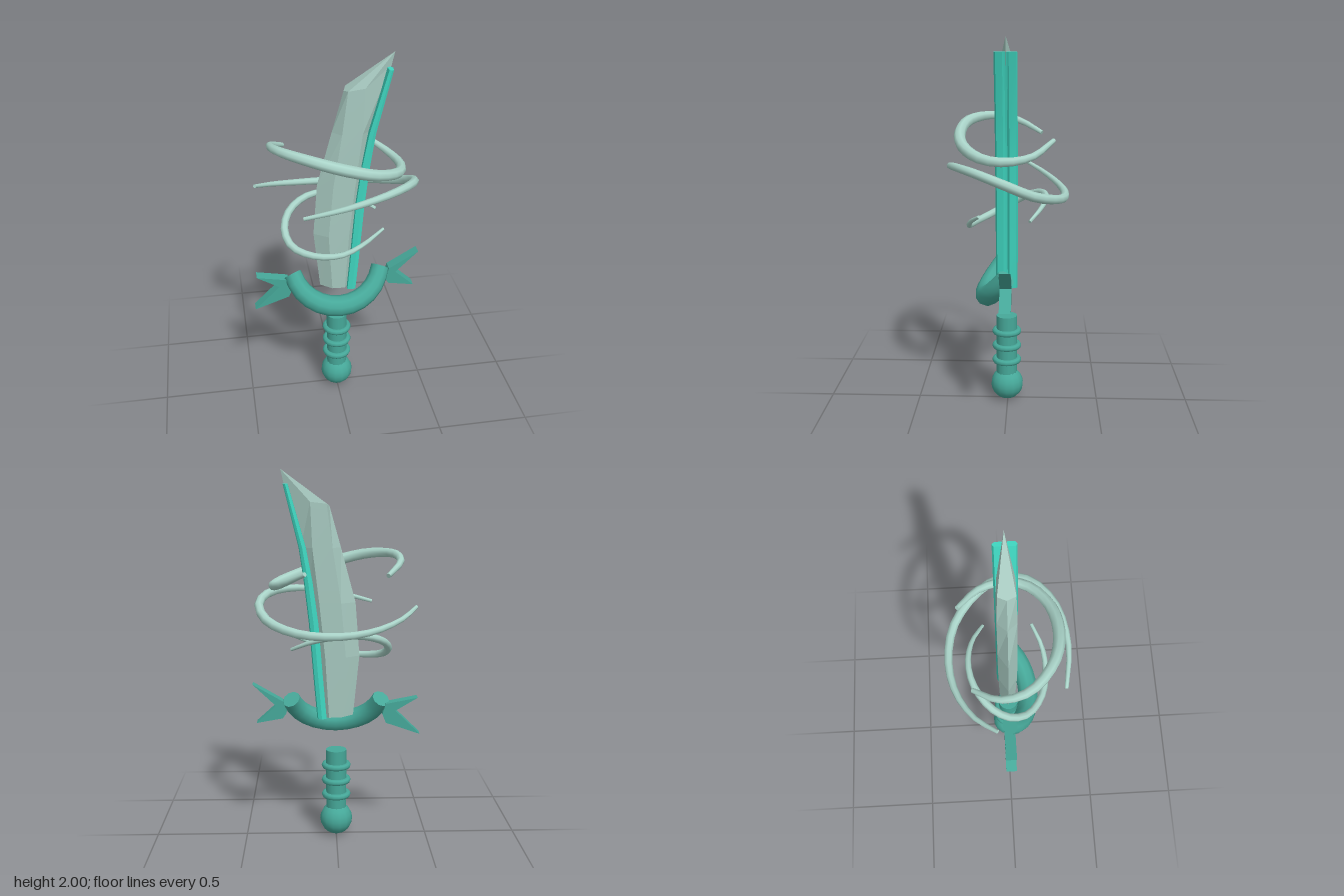
import * as THREE from 'three';
import { toCreasedNormals } from 'three/addons/utils/BufferGeometryUtils.js';

const paint = (name, color) => {
  const m = new THREE.MeshStandardMaterial({ color });
  m.name = name;
  return m;
};

// Closed skin over equal-length rings (each anticlockwise about the path), capped at both ends
function loft(rings, crease, endApex) {
  const n = rings[0].length, pos = [], idx = [];
  const mid = r => r.reduce((s, p) => s.add(p), new THREE.Vector3()).divideScalar(n);
  const add = p => pos.push(p.x, p.y, p.z);
  rings.forEach(r => r.forEach(add));
  const last = rings.length - 1, c0 = rings.length * n, c1 = c0 + 1;
  add(mid(rings[0]));
  add(endApex || mid(rings[last]));
  for (let j = 0; j < n; j++) {
    const k = (j + 1) % n;
    for (let i = 0; i < last; i++) {
      const a = i * n + j, b = i * n + k;
      idx.push(a, b, b + n, a, b + n, a + n);
    }
    idx.push(c0, k, j, c1, last * n + j, last * n + k);
  }
  const g = new THREE.BufferGeometry();
  g.setAttribute('position', new THREE.Float32BufferAttribute(pos, 3));
  g.setIndex(idx);
  return toCreasedNormals(g, crease);
}

// Round tube along a smooth path, radius given as a function of 0..1
function sweep(points, radius, steps, sides) {
  const curve = new THREE.CatmullRomCurve3(points.map(p => new THREE.Vector3(...p)));
  const { normals, binormals } = curve.computeFrenetFrames(steps, false);
  const rings = [];
  for (let i = 0; i <= steps; i++) {
    const c = curve.getPointAt(i / steps), r = radius(i / steps);
    rings.push(Array.from({ length: sides }, (_, j) => {
      const a = j / sides * Math.PI * 2;
      return c.clone().addScaledVector(normals[i], r * Math.cos(a)).addScaledVector(binormals[i], r * Math.sin(a));
    }));
  }
  return loft(rings, 1.1);
}

export function createModel() {
  const model = new THREE.Group();
  model.name = 'sword';
  const teal = paint('dark teal', 0x46a899);
  const bright = paint('bright teal', 0x3fd6c0);
  const steel = paint('pale steel', 0xa6c8bf);
  const mist = paint('pale mint', 0xaad4c9);
  const add = (name, geo, mat, x = 0, y = 0, z = 0) => {
    const m = new THREE.Mesh(geo, mat);
    m.name = name;
    m.position.set(x, y, z);
    model.add(m);
    return m;
  };
  const V = (x, y, z) => new THREE.Vector3(x, y, z);

  // Grip, pommel and grip rings
  add('pommel', new THREE.SphereGeometry(0.09, 14, 10), teal, 0, 0.088, 0.004);
  add('grip', new THREE.CylinderGeometry(0.057, 0.057, 0.36, 14), teal, 0, 0.31, 0.006);
  for (const y of [0.23, 0.315, 0.4]) {
    add('gripRing', new THREE.TorusGeometry(0.064, 0.017, 8, 18), teal, 0, y, 0.006).rotation.x = Math.PI / 2;
  }

  // Crescent guard, an arc leaning towards the front
  const arc = [];
  for (let i = 0; i <= 8; i++) {
    const a = (i / 4 - 1) * 1.36, d = 0.25 * (1 - Math.cos(a));
    arc.push([0.25 * Math.sin(a), 0.62 + d * 0.8, 0.12 - d * 0.6]);
  }
  add('guard', sweep(arc, t => 0.05 + 0.008 * Math.sin(Math.PI * t), 12, 10), teal);

  // Forked spikes at the guard ends
  const forks = [
    ['leftFork', [[0.452, 0.87], [0.29, 0.775], [0.27, 0.71], [0.29, 0.68], [0.432, 0.655], [0.327, 0.75]]],
    ['rightFork', [[-0.442, 0.79], [-0.27, 0.757], [-0.25, 0.70], [-0.27, 0.65], [-0.457, 0.585], [-0.322, 0.718]]],
  ];
  for (const [name, pts] of forks) {
    const shape = new THREE.Shape(pts.map(p => new THREE.Vector2(...p)));
    const geo = new THREE.ExtrudeGeometry(shape, { depth: 0.06, bevelEnabled: false });
    add(name, geo, teal, 0, 0, -0.03);
  }

  // Blade levels: edge x, edge y, front ridge x, back ridge x, ridge y, back x, back y, half thickness
  const levels = [
    [-0.092, 0.69, -0.03, 0.04, 0.685, 0.075, 0.68, 0.044],
    [-0.125, 1.02, -0.05, 0.06, 1.02, 0.105, 1.02, 0.05],
    [-0.103, 1.31, -0.025, 0.09, 1.31, 0.137, 1.31, 0.05],
    [-0.025, 1.6, 0.02, 0.125, 1.6, 0.185, 1.6, 0.05],
    [0.035, 1.815, 0.05, 0.135, 1.835, 0.272, 1.935, 0.044],
  ];
  const bladeRings = levels.map(([lx, ly, fx, bx, ry, rx, rry, t]) => [
    V(lx, ly, 0), V(fx, (ly + ry) / 2, t), V(bx, ry, t),
    V(rx, rry, 0), V(bx, ry, -t), V(fx, (ly + ry) / 2, -t),
  ]);
  add('blade', loft(bladeRings, 0.05, V(0.287, 2, 0)), steel);

  // Bright grooved spine along the back of the blade
  const half = [[-0.025, 0.05], [0, 0.058], [0.02, 0.05], [0.026, 0.016], [0.012, 0.005]];
  const section = [...half, ...half.map(([x, z]) => [x, -z]).reverse()];
  const spineLevels = [[0.078, 0.68, 1], [0.1, 0.94, 1], [0.12, 1.2, 1], [0.147, 1.42, 0.9], [0.177, 1.6, 0.75], [0.262, 1.925, 0.5]];
  add('spine', loft(spineLevels.map(([x, y, s]) => section.map(([dx, z]) => V(x + dx * s, y, z + 0.002))), 0.6), bright);

  // Tapered wisps circling the blade
  const wisps = [
    ['upperWisp', 0.031, [[-0.26, 1.47, -0.18], [-0.335, 1.53, -0.05], [-0.31, 1.56, 0.09], [-0.17, 1.55, 0.21],
      [0, 1.505, 0.25], [0.17, 1.45, 0.22], [0.3, 1.41, 0.12], [0.335, 1.4, 0], [0.29, 1.42, -0.13], [0.163, 1.485, -0.238]]],
    ['middleWisp', 0.025, [[-0.42, 1.295, -0.07], [-0.33, 1.245, -0.18], [-0.18, 1.2, -0.27], [0, 1.18, -0.305], [0.2, 1.19, -0.27],
      [0.36, 1.235, -0.14], [0.41, 1.3, 0], [0.36, 1.345, 0.14], [0.21, 1.355, 0.26], [0, 1.325, 0.308], [-0.21, 1.275, 0.285]]],
    ['lowerWisp', 0.021, [[0.238, 1.08, -0.12], [0.13, 1.13, -0.18], [0, 1.16, -0.205], [-0.13, 1.16, -0.18], [-0.24, 1.12, -0.1],
      [-0.28, 1.06, 0], [-0.25, 1.01, 0.1], [-0.14, 0.99, 0.18], [0, 1.0, 0.207], [0.12, 1.05, 0.19], [0.225, 1.1, 0.14]]],
  ];
  for (const [name, r, pts] of wisps) {
    add(name, sweep(pts, t => r * (0.4 + 0.6 * Math.sin(Math.PI * t)), 26, 8), mist);
  }
  return model;
}
